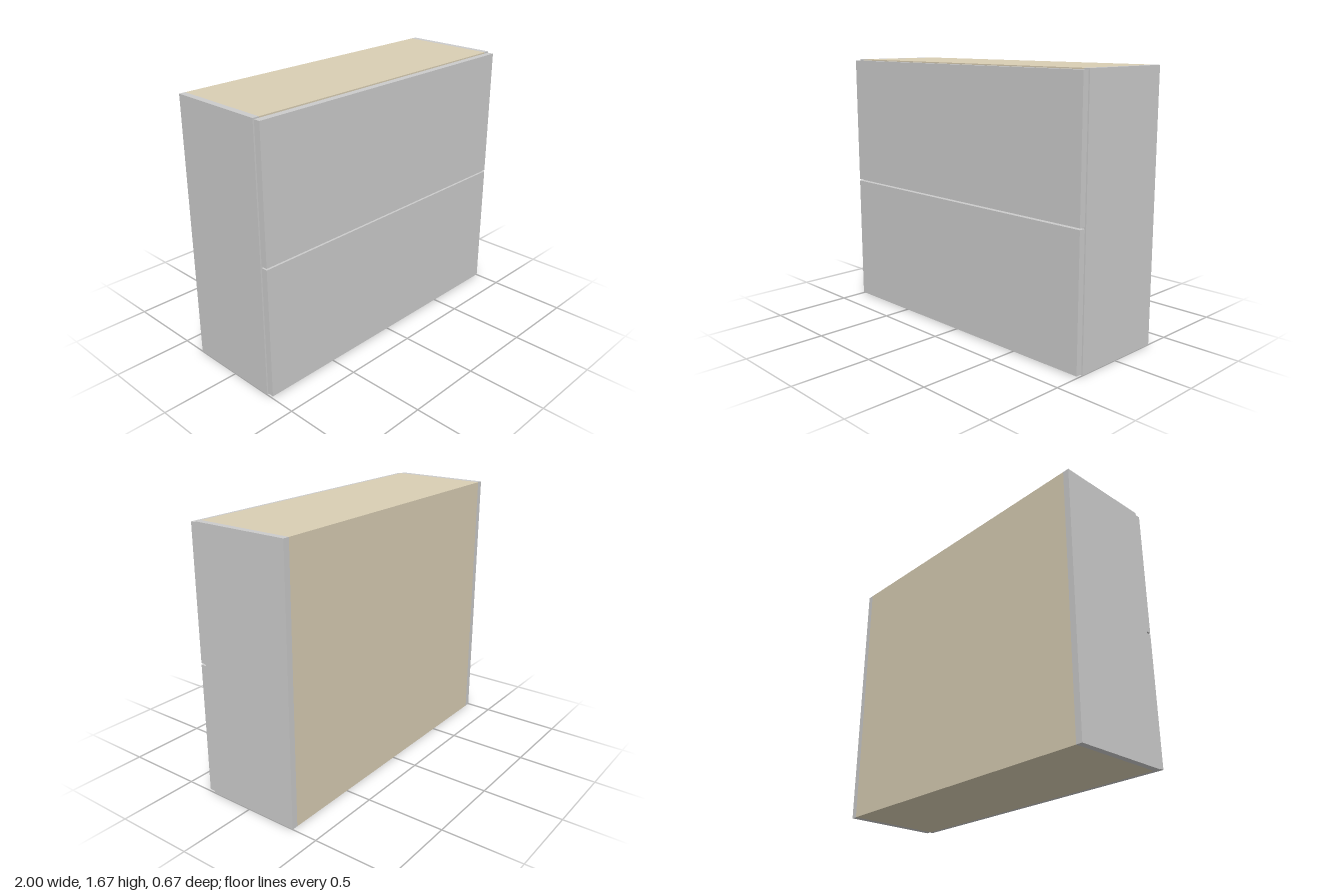
import * as THREE from 'three';

const W = 2, H = 1.667, T = 0.04;        // outer width, height, board thickness
const BACK = -0.333, BODY = 0.29, FRONT = 0.333; // depth stations

export function createModel() {
  const group = new THREE.Group();
  const grey = new THREE.MeshStandardMaterial({ color: 0xcccccc });
  const wood = new THREE.MeshStandardMaterial({ color: 0xd9ceb4 });

  // Board given by its minimum and maximum corners
  function board(name, material, [x0, y0, z0], [x1, y1, z1]) {
    const mesh = new THREE.Mesh(new THREE.BoxGeometry(x1 - x0, y1 - y0, z1 - z0), material);
    mesh.position.set((x0 + x1) / 2, (y0 + y1) / 2, (z0 + z1) / 2);
    mesh.name = name;
    group.add(mesh);
  }

  // Side panels
  const inner = W / 2 - T;
  board('rightSide', grey, [-W / 2, 0, BACK], [-inner, H, BODY]);
  board('leftSide', grey, [inner, 0, BACK], [W / 2, H, BODY]);

  // Carcass boards between the sides
  board('bottomPanel', wood, [-inner, 0, BACK], [inner, T, BODY]);
  board('topPanel', wood, [-inner, H - T, BACK], [inner, H, BODY]);
  board('backPanel', wood, [-inner, T, BACK], [inner, H - T, BACK + 0.02]);

  // Two stacked fronts with a narrow gap all round
  const gap = 0.007, mid = H / 2, doorX = W / 2 - gap;
  board('lowerFront', grey, [-doorX, gap, BODY + 0.002], [doorX, mid - 0.005, FRONT]);
  board('upperFront', grey, [-doorX, mid + 0.005, BODY + 0.002], [doorX, H - gap, FRONT]);

  return group;
}
